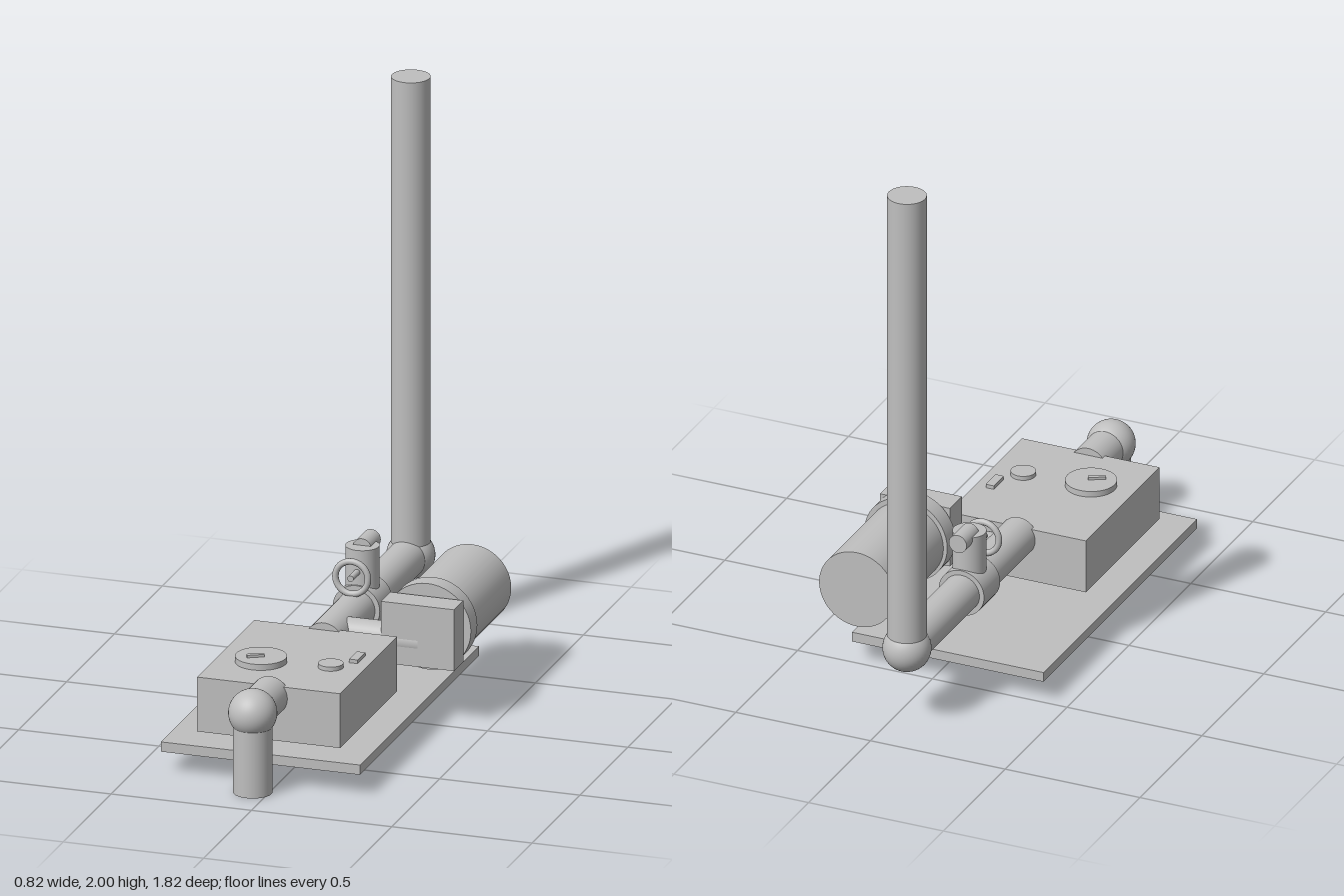
import * as THREE from 'three';

export function createModel() {
  const group = new THREE.Group();
  const grey = new THREE.MeshStandardMaterial({ color: 0xbfbfbf });
  grey.name = 'plain grey';

  const add = (name, geometry, x, y, z) => {
    const mesh = new THREE.Mesh(geometry, grey);
    mesh.name = name;
    mesh.position.set(x, y, z);
    group.add(mesh);
    return mesh;
  };

  // Box given by its minimum and maximum corners
  const box = (name, [x0, y0, z0], [x1, y1, z1]) =>
    add(name, new THREE.BoxGeometry(x1 - x0, y1 - y0, z1 - z0),
      (x0 + x1) / 2, (y0 + y1) / 2, (z0 + z1) / 2);

  // Closed cylinder between two points
  const rod = (name, r, from, to) => {
    const a = new THREE.Vector3(...from), b = new THREE.Vector3(...to);
    const dir = b.clone().sub(a);
    const mesh = add(name, new THREE.CylinderGeometry(r, r, dir.length(), 48), 0, 0, 0);
    mesh.position.copy(a).add(b).multiplyScalar(0.5);
    mesh.quaternion.setFromUnitVectors(new THREE.Vector3(0, 1, 0), dir.normalize());
    return mesh;
  };

  const px = -0.055, py = 0.284, pipeR = 0.067, endZ = 0.825;

  // Skid plate and tank
  box('basePlate', [-0.41, 0.075, -0.495], [0.3, 0.11, 0.745]);
  box('tank', [-0.31, 0.13, 0.065], [0.2, 0.325, 0.66]);

  // Fittings on the tank lid
  rod('fillerCap', 0.088, [-0.155, 0.32, 0.445], [-0.155, 0.346, 0.445]);
  const handle = box('fillerCapHandle', [-0.2, 0.34, 0.452], [-0.14, 0.355, 0.468]);
  handle.rotation.y = 0.5;
  rod('smallCap', 0.043, [0.085, 0.32, 0.42], [0.085, 0.34, 0.42]);
  box('levelSwitch', [0.13, 0.32, 0.28], [0.16, 0.338, 0.36]);

  // Inlet and outlet pipework with ball elbows
  rod('inletDrop', pipeR, [px, 0, endZ], [px, py, endZ]);
  rod('inletPipe', pipeR, [px, py, 0.64], [px, py, endZ]);
  rod('outletPipe', pipeR, [px, py, -endZ], [px, py, 0.083]);
  rod('stackPipe', pipeR, [px, py, -endZ], [px, 2, -endZ]);
  for (const [name, z] of [['inletElbow', endZ], ['outletElbow', -endZ]]) {
    add(name, new THREE.SphereGeometry(0.083, 40, 28), px, py, z);
  }

  // Pump block and its branch to the main pipe
  rod('pumpBranch', 0.051, [px, py, -0.037], [0.255, py, -0.037]);
  box('pumpBlock', [0.125, 0.205, -0.085], [0.385, 0.425, 0.012]);

  // Motor
  rod('motorFlange', 0.154, [0.255, 0.314, -0.16], [0.255, 0.314, -0.093]);
  rod('motorBody', 0.14, [0.255, 0.31, -0.555], [0.255, 0.31, -0.15]);

  // Valve on the outlet pipe
  const vz = -0.32;
  rod('valveCollar', 0.084, [px, py, vz - 0.065], [px, py, vz + 0.065]);
  rod('valveBody', 0.058, [px, py, vz], [px, 0.492, vz]);
  rod('valveOutlet', 0.033, [px, 0.483, -0.415], [px, 0.483, -0.315]);
  rod('valveStem', 0.011, [px, 0.413, vz], [px, 0.413, -0.195]);
  add('handWheel', new THREE.TorusGeometry(0.058, 0.011, 14, 40), px, 0.413, -0.208);

  return group;
}
